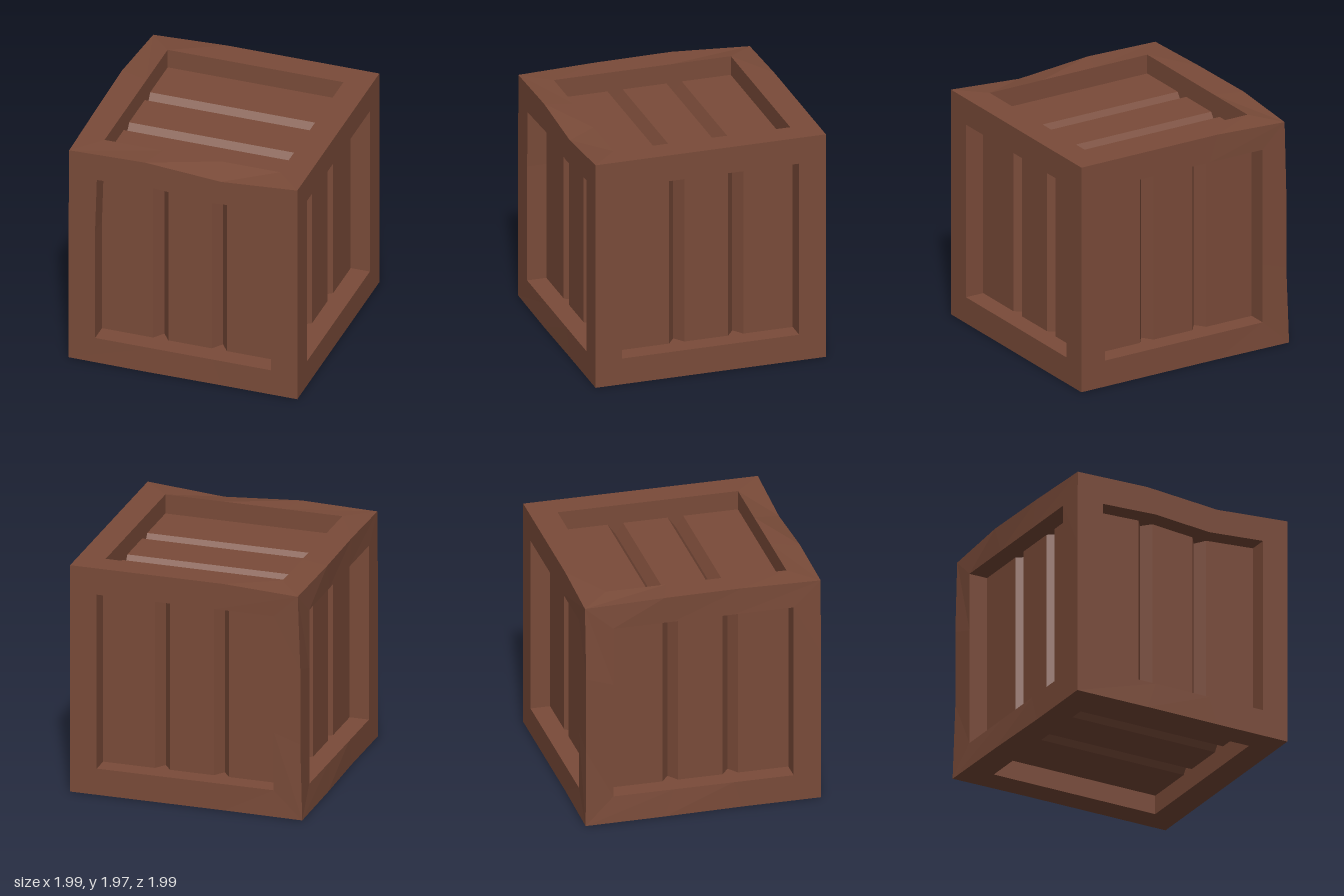
import * as THREE from 'three';

const HALF = 0.985;   // outer half size
const RIM = 0.757;    // half size of each panel opening
const PANEL = 0.82;   // distance of the planks from the centre
const GROOVE = 0.09;  // groove depth
const STEPS = [-3, -1, 1, 3];

// Worn spots on the outer edges, keyed by lattice position (-3, -1, 1 or 3 per axis)
const DENTS = {
  '1,3,3': [0, -0.05, 0],
  '-3,3,3': [0.005, -0.015, 0],
  '-3,3,-3': [0.02, -0.03, -0.005],
  '-3,3,-1': [-0.01, 0, 0],
  '-3,-3,-3': [-0.02, 0, -0.01],
  '-3,-3,-1': [-0.015, 0, 0],
  '-1,-3,3': [0, 0, 0.005],
};

// Worn spots on the inner rims, keyed by face and position
const RIM_DENTS = {
  'front:-3,3': [0.015, -0.02],
  'front:1,3': [0, -0.04],
};

// u runs across the planks, v along them, and u x v points outward
const FACES = [
  { name: 'front', u: [1, 0, 0], v: [0, 1, 0], shift: 0.002 },
  { name: 'back', u: [-1, 0, 0], v: [0, 1, 0], shift: 0.002 },
  { name: 'left', u: [0, 0, -1], v: [0, 1, 0], shift: 0.0175 },
  { name: 'right', u: [0, 0, 1], v: [0, 1, 0], shift: 0.0175 },
  { name: 'top', u: [0, 0, 1], v: [1, 0, 0], shift: -0.02 },
  { name: 'bottom', u: [0, 0, -1], v: [1, 0, 0], shift: -0.02 },
];

// Flat-shaded surface from quads of Vector3 corners
function quadsGeometry(quads) {
  const points = quads.flatMap(([a, b, c, d]) => [a, b, c, a, c, d]);
  const geometry = new THREE.BufferGeometry().setFromPoints(points);
  geometry.computeVertexNormals();
  return geometry;
}

// Counter-clockwise loop of lattice positions around a square
function squareLoop() {
  const loop = [];
  for (let i = 0; i < 3; i++) loop.push([STEPS[i], -3]);
  for (let i = 0; i < 3; i++) loop.push([3, STEPS[i]]);
  for (let i = 3; i > 0; i--) loop.push([STEPS[i], 3]);
  for (let i = 3; i > 0; i--) loop.push([-3, STEPS[i]]);
  return loop;
}

function buildFace(face, material) {
  const U = new THREE.Vector3(...face.u);
  const V = new THREE.Vector3(...face.v);
  const N = U.clone().cross(V);
  const at = (u, v, n) => new THREE.Vector3()
    .addScaledVector(U, u).addScaledVector(V, v).addScaledVector(N, n);

  const outer = (u, v) => {
    const p = at(u, v, 3).round();
    const key = [p.x, p.y, p.z].map((c) => c + 0).join(',');
    return p.multiplyScalar(HALF / 3).add(new THREE.Vector3(...(DENTS[key] || [0, 0, 0])));
  };
  const inner = (u, v, n) => {
    const [du, dv] = RIM_DENTS[`${face.name}:${u},${v}`] || [0, 0];
    return at(u * RIM / 3 + du, v * RIM / 3 + dv, n);
  };

  // Frame border and the walls of its opening
  const frame = [];
  const loop = squareLoop();
  loop.forEach(([u, v], i) => {
    const [u2, v2] = loop[(i + 1) % loop.length];
    const a = inner(u, v, HALF), b = inner(u2, v2, HALF);
    frame.push([outer(u, v), outer(u2, v2), b, a]);
    frame.push([a, b, inner(u2, v2, PANEL - GROOVE - 0.01), inner(u, v, PANEL - GROOVE - 0.01)]);
  });

  // Planks parted by two V grooves
  const profile = [[-RIM, PANEL]];
  for (const side of [-1, 1]) {
    const c = side * 0.2525 + face.shift;
    profile.push([c - 0.065, PANEL], [c, PANEL - GROOVE], [c + 0.065, PANEL]);
  }
  profile.push([RIM, PANEL]);
  const planks = [];
  for (let i = 0; i < profile.length - 1; i++) {
    const [u1, n1] = profile[i], [u2, n2] = profile[i + 1];
    planks.push([at(u1, -RIM, n1), at(u2, -RIM, n2), at(u2, RIM, n2), at(u1, RIM, n1)]);
  }

  const group = new THREE.Group();
  group.name = `${face.name}Side`;
  for (const [part, quads] of [['Frame', frame], ['Planks', planks]]) {
    const mesh = new THREE.Mesh(quadsGeometry(quads), material);
    mesh.name = face.name + part;
    group.add(mesh);
  }
  return group;
}

export function createModel() {
  const wood = new THREE.MeshStandardMaterial({ color: 0x7a4b39 });
  wood.name = 'brownWood';
  const crate = new THREE.Group();
  crate.name = 'crate';
  for (const face of FACES) crate.add(buildFace(face, wood));
  crate.position.set(0.005, HALF, 0);
  const model = new THREE.Group();
  model.name = 'woodenCrate';
  model.add(crate);
  return model;
}
